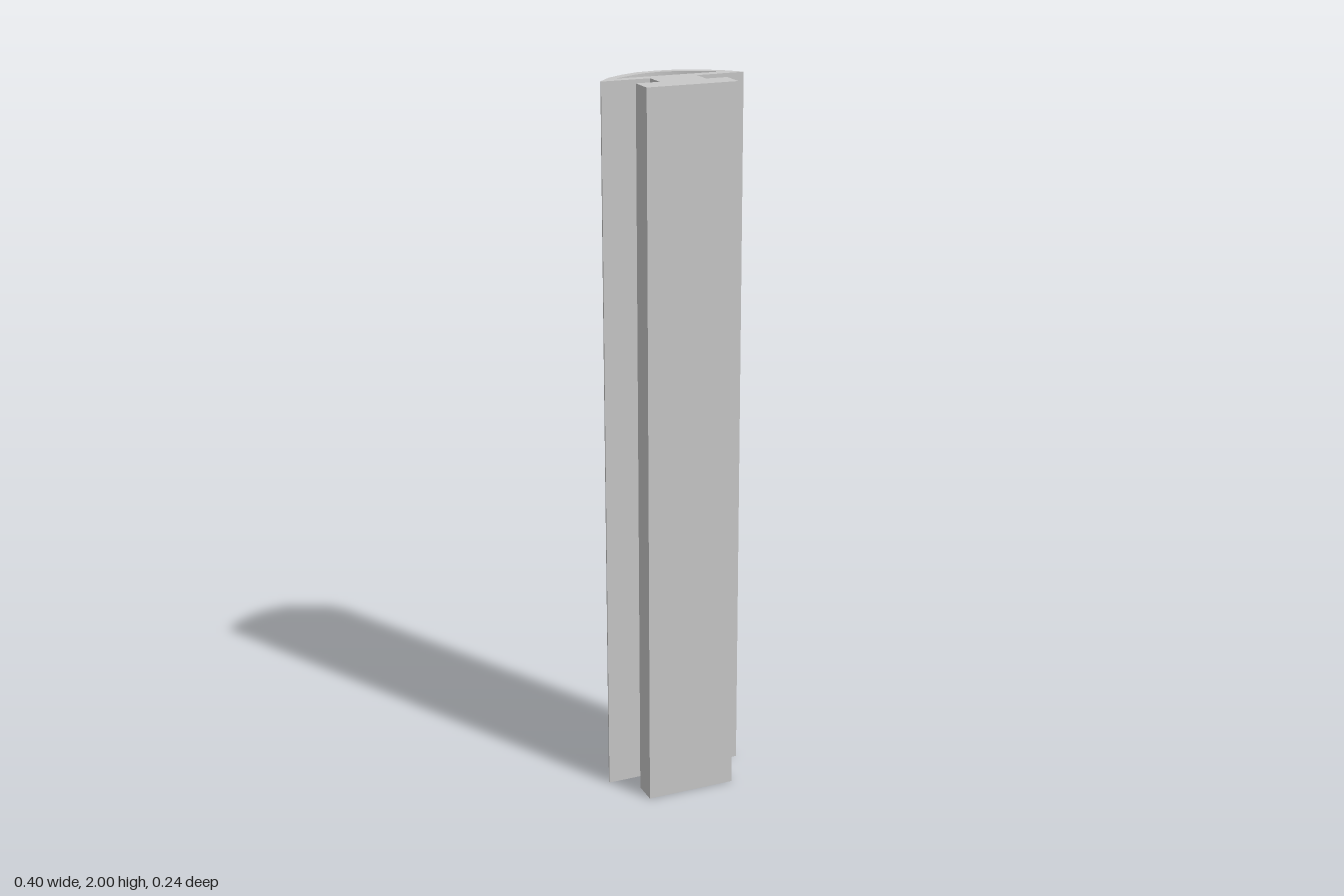
import * as THREE from 'three';
import { toCreasedNormals } from 'three/addons/utils/BufferGeometryUtils.js';

const HEIGHT = 2;
const points = (list) => list.map(([x, z]) => new THREE.Vector2(x, -z));
const mirrored = (half) => [...half, ...half.slice(0, -1).reverse().map(([x, z]) => [-x, z])];

export function createModel() {
  const group = new THREE.Group();
  group.name = 'extrudedRail';
  const grey = new THREE.MeshStandardMaterial({ color: 0xc8c8c8 });
  grey.name = 'light grey';

  // Domed back, given as [x, z] from the left tip over the crown to the right tip
  const dome = mirrored([[0.2, -0.011], [0.2, -0.016], [0.16, -0.061], [0.112, -0.092], [0.058, -0.116], [0, -0.122]]);
  // Neck and front flange
  const tee = [
    [-0.065, -0.011], [-0.065, 0.05], [-0.13, 0.05], [-0.13, 0.12],
    [0.124, 0.12], [0.124, 0.05], [0.065, 0.05], [0.065, -0.009], [0.135, -0.009], [0.137, -0.011],
  ];
  const profile = new THREE.Shape(points([...dome, ...tee]));

  // Hollow channel under the dome
  const channel = mirrored([[0.152, -0.04], [0.115, -0.06], [0.078, -0.08], [0.04, -0.093], [0, -0.099]]);
  profile.holes.push(new THREE.Path(points(channel)));

  // Extrude the cross-section upright, smooth over the dome and sharp elsewhere
  let geometry = new THREE.ExtrudeGeometry(profile, { depth: HEIGHT, bevelEnabled: false });
  geometry.rotateX(-Math.PI / 2);
  geometry = toCreasedNormals(geometry, Math.PI / 6);
  geometry.clearGroups();

  const rail = new THREE.Mesh(geometry, grey);
  rail.name = 'railBody';
  group.add(rail);
  return group;
}
